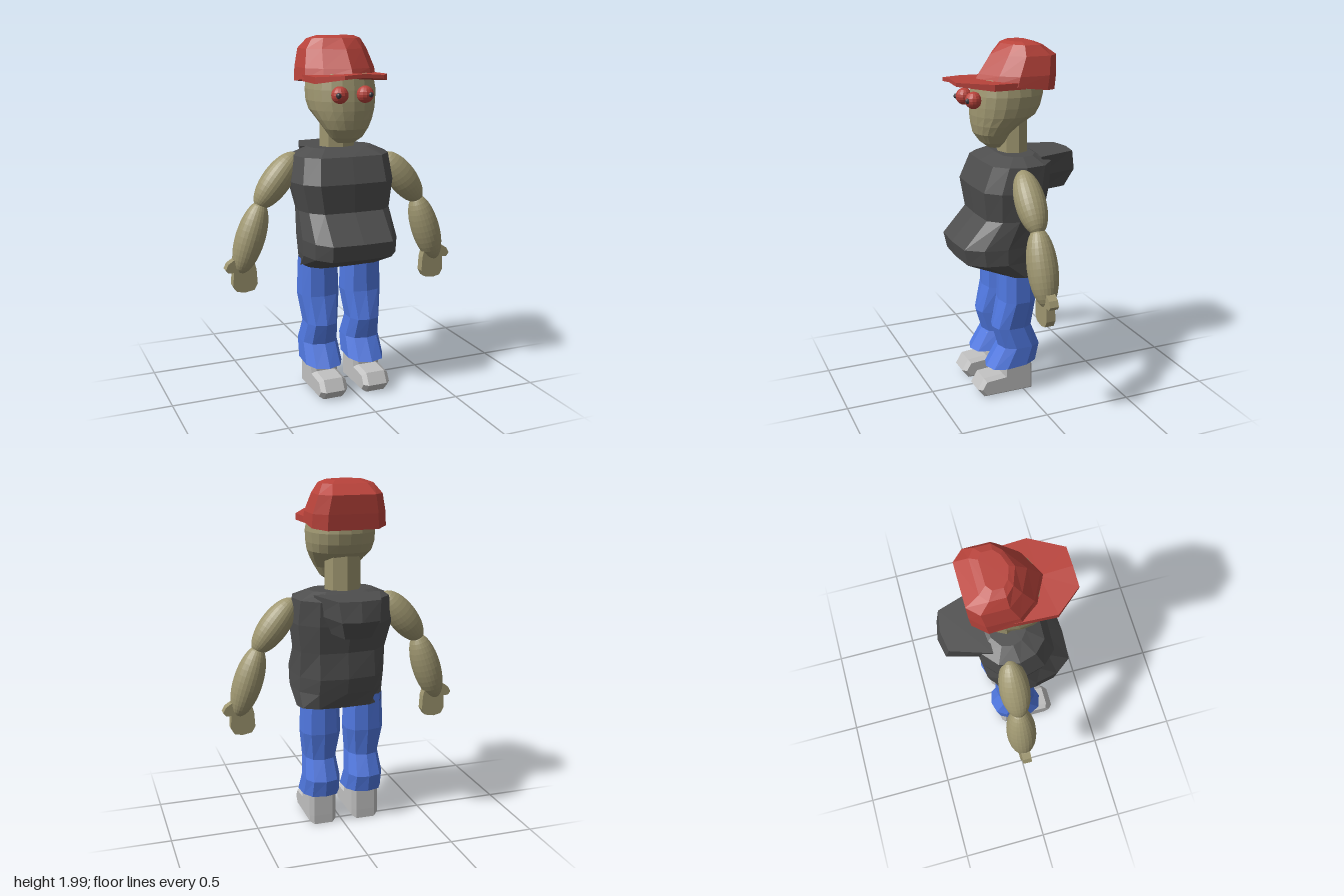
import * as THREE from 'three';

const mat = (name, color, side = THREE.FrontSide) => {
  const m = new THREE.MeshStandardMaterial({ color, flatShading: true, side });
  m.name = name;
  return m;
};

// Regular cross-section; a power below 1 makes it boxier
const round = (n, power = 1) => Array.from({ length: n }, (_, i) => {
  const a = (i / n) * Math.PI * 2;
  const f = (v) => Math.sign(v) * Math.abs(v) ** power;
  return [f(Math.sin(a)), f(Math.cos(a))];
});

// Mirrors one side of a section, listed from front to back
const mirrored = (half) => [
  ...half,
  ...half.filter(([x]) => x > 0).reverse().map(([x, z]) => [-x, z]),
];

// Each ring is [y, xMin, xMax, zBack, zFront, frontRise]
const ringPoints = (section, [y, x0, x1, zb, zf, rise = 0]) => section.map(([x, z]) => [
  (x0 + x1) / 2 + (x * (x1 - x0)) / 2,
  y + z * rise,
  (zb + zf) / 2 + (z * (zf - zb)) / 2,
]);

// Skins a stack of rings from bottom to top
function loft(rings, capped = true) {
  const pos = [];
  const n = rings[0].length;
  for (let i = 0; i < rings.length - 1; i++) {
    for (let j = 0; j < n; j++) {
      const k = (j + 1) % n;
      const a = rings[i][j], b = rings[i][k], c = rings[i + 1][k], d = rings[i + 1][j];
      pos.push(...a, ...b, ...c, ...a, ...c, ...d);
    }
  }
  const cap = (ring, up) => {
    const mid = [0, 1, 2].map((q) => ring.reduce((s, p) => s + p[q], 0) / n);
    for (let j = 0; j < n; j++) {
      const a = ring[j], b = ring[(j + 1) % n];
      pos.push(...mid, ...(up ? a : b), ...(up ? b : a));
    }
  };
  if (capped) {
    cap(rings[0], false);
    cap(rings[rings.length - 1], true);
  }
  const g = new THREE.BufferGeometry();
  g.setAttribute('position', new THREE.Float32BufferAttribute(pos, 3));
  g.computeVertexNormals();
  return g;
}

const body = (section, rings, capped) => loft(rings.map((r) => ringPoints(section, r)), capped);

export function createModel() {
  const skin = mat('skin', 0x9e9670);
  const vest = mat('darkGrey', 0x4e4e4e);
  const red = mat('red', 0xb9433b);
  const blue = mat('blue', 0x5078e0, THREE.DoubleSide);
  const shoeGrey = mat('lightGrey', 0xc0c0c0);
  const pupilGrey = mat('pupil', 0x3a3a40);

  const model = new THREE.Group();
  const add = (name, geometry, material, parent = model) => {
    const m = new THREE.Mesh(geometry, material);
    m.name = name;
    parent.add(m);
    return m;
  };

  // Torso with a pot belly
  const torsoSection = mirrored([[0, 1], [0.65, 0.96], [0.9, 0.6], [1, 0.1], [0.93, -0.5], [0.6, -0.92], [0, -1]]);
  add('torso', body(torsoSection, [
    [0.73, -0.25, 0.25, -0.1, 0.12],
    [0.82, -0.27, 0.26, -0.13, 0.34],
    [0.91, -0.275, 0.26, -0.15, 0.36],
    [1.06, -0.27, 0.26, -0.14, 0.225],
    [1.22, -0.31, 0.28, -0.17, 0.245],
    [1.36, -0.28, 0.27, -0.18, 0.19],
    [1.4, -0.19, 0.18, -0.1, 0.1],
  ]), vest);

  // Hood hanging behind the shoulders
  const hoodSection = mirrored([[1, 1], [0.62, -0.84], [0, -1]]);
  add('hood', body(hoodSection, [
    [1.18, -0.13, 0.11, -0.31, -0.1],
    [1.28, -0.18, 0.16, -0.36, -0.1],
    [1.39, -0.2, 0.18, -0.34, -0.1],
  ]), vest);

  // Neck and head
  add('neck', body(round(8), [
    [1.34, -0.12, 0.09, -0.09, 0.08],
    [1.6, -0.12, 0.09, -0.09, 0.08],
  ]), skin);
  add('head', body(round(20, 0.9), [
    [1.43, -0.06, 0.04, 0.07, 0.14],
    [1.46, -0.1, 0.08, 0.05, 0.18],
    [1.51, -0.135, 0.11, 0.02, 0.215],
    [1.56, -0.165, 0.14, -0.04, 0.225],
    [1.61, -0.19, 0.165, -0.125, 0.23],
    [1.66, -0.2, 0.175, -0.155, 0.23],
    [1.72, -0.2, 0.18, -0.17, 0.225],
    [1.78, -0.19, 0.17, -0.165, 0.215],
    [1.84, -0.15, 0.13, -0.12, 0.13],
  ]), skin);

  // Bulging eyes
  for (const [name, x, px] of [['rightEye', -0.1, -0.122], ['leftEye', 0.045, 0.06]]) {
    add(name, new THREE.SphereGeometry(0.046, 14, 10), red).position.set(x, 1.7, 0.24);
    add(name + 'Pupil', new THREE.SphereGeometry(0.015, 10, 8), pupilGrey).position.set(px, 1.7, 0.277);
  }

  // Cap crown, pointed at the front
  const crownSection = mirrored([[0, 1], [0.66, 0.66], [1, 0.2], [1, -0.65], [0.68, -1]]);
  add('capCrown', body(crownSection, [
    [1.77, -0.222, 0.195, -0.195, 0.21, 0.025],
    [1.83, -0.215, 0.192, -0.205, 0.19],
    [1.93, -0.19, 0.165, -0.212, 0.12],
    [1.985, -0.155, 0.13, -0.14, 0.06, 0.002],
    [2.0, -0.11, 0.09, -0.1, 0.03],
  ]), red);

  // Cap brim, drooping at the sides
  const brim = [[-0.01, 1.795, 0.355], [0.1, 1.787, 0.355], [0.2, 1.765, 0.18], [0.19, 1.765, 0],
    [-0.01, 1.79, 0], [-0.22, 1.76, 0], [-0.23, 1.76, 0.22], [-0.12, 1.787, 0.355]];
  add('capBrim', loft([brim, brim.map(([x, y, z]) => [x, y + (z > 0.3 ? 0.02 : 0.035), z])]), red);

  // Hand outline with a thumb on the outer side
  const hand = new THREE.Shape([
    [-0.05, 0.2], [0.02, 0.2], [0.06, 0.185], [0.09, 0.165], [0.105, 0.135], [0.09, 0.115], [0.06, 0.115],
    [0.065, 0.04], [0.045, 0.005], [0.0, -0.005], [-0.055, 0.005], [-0.075, 0.04], [-0.07, 0.12],
  ].map(([x, y]) => new THREE.Vector2(x, y)));

  // Arms: two ellipsoid segments and a flat hand
  const limb = (name, s, from, to, parent) => {
    const a = new THREE.Vector3(s * from[0], from[1], 0);
    const b = new THREE.Vector3(s * to[0], to[1], 0);
    const m = add(name, new THREE.SphereGeometry(1, 24, 18), skin, parent);
    m.scale.set(0.083, a.distanceTo(b) / 2, 0.083);
    m.position.copy(a).add(b).multiplyScalar(0.5);
    m.quaternion.setFromUnitVectors(new THREE.Vector3(0, 1, 0), b.sub(a).normalize());
  };
  for (const [side, s, z, dy] of [['left', 1, 0.05, 0], ['right', -1, -0.03, 0.02]]) {
    const arm = new THREE.Group();
    arm.name = side + 'Arm';
    arm.position.set(0, dy, z);
    model.add(arm);
    limb('upperArm', s, [0.25, 1.345], [0.48, 1.055], arm);
    limb('forearm', s, [0.455, 1.09], [0.59, 0.69], arm);
    const h = add('hand', new THREE.ExtrudeGeometry(hand, { depth: 0.05, bevelEnabled: false }), skin, arm);
    h.rotation.y = s > 0 ? 0 : Math.PI;
    h.position.set(s * 0.568, 0.59, s * -0.025);
  }

  // Shoe profile, drawn as forward (z) against up (y)
  const shoe = new THREE.Shape([
    [-0.035, 0.025], [0.235, 0.025], [0.262, 0.06], [0.235, 0.105], [0.115, 0.115], [0.11, 0.26], [-0.03, 0.26], [-0.035, 0.06],
  ].map(([z, y]) => new THREE.Vector2(z, y)));
  const shoeGeometry = new THREE.ExtrudeGeometry(shoe, {
    depth: 0.11, bevelThickness: 0.025, bevelSize: 0.018, bevelSegments: 1,
  });
  shoeGeometry.translate(0, 0, -0.055).rotateY(-Math.PI / 2);

  // Trouser legs flare over the shoes
  const legSection = round(10, 0.8);
  for (const [side, x] of [['left', 0.113], ['right', -0.147]]) {
    const leg = new THREE.Group();
    leg.name = side + 'Leg';
    leg.position.x = x;
    model.add(leg);
    add('trouserLeg', body(legSection, [
      [0.18, -0.112, 0.112, -0.09, 0.21, -0.012],
      [0.29, -0.106, 0.106, -0.11, 0.135],
      [0.41, -0.093, 0.093, -0.06, 0.17],
      [0.57, -0.116, 0.116, -0.08, 0.13],
      [0.78, -0.108, 0.108, -0.075, 0.125],
    ], false), blue, leg);
    add('shoe', shoeGeometry, shoeGrey, leg).position.x = 0.003;
  }

  return model;
}
